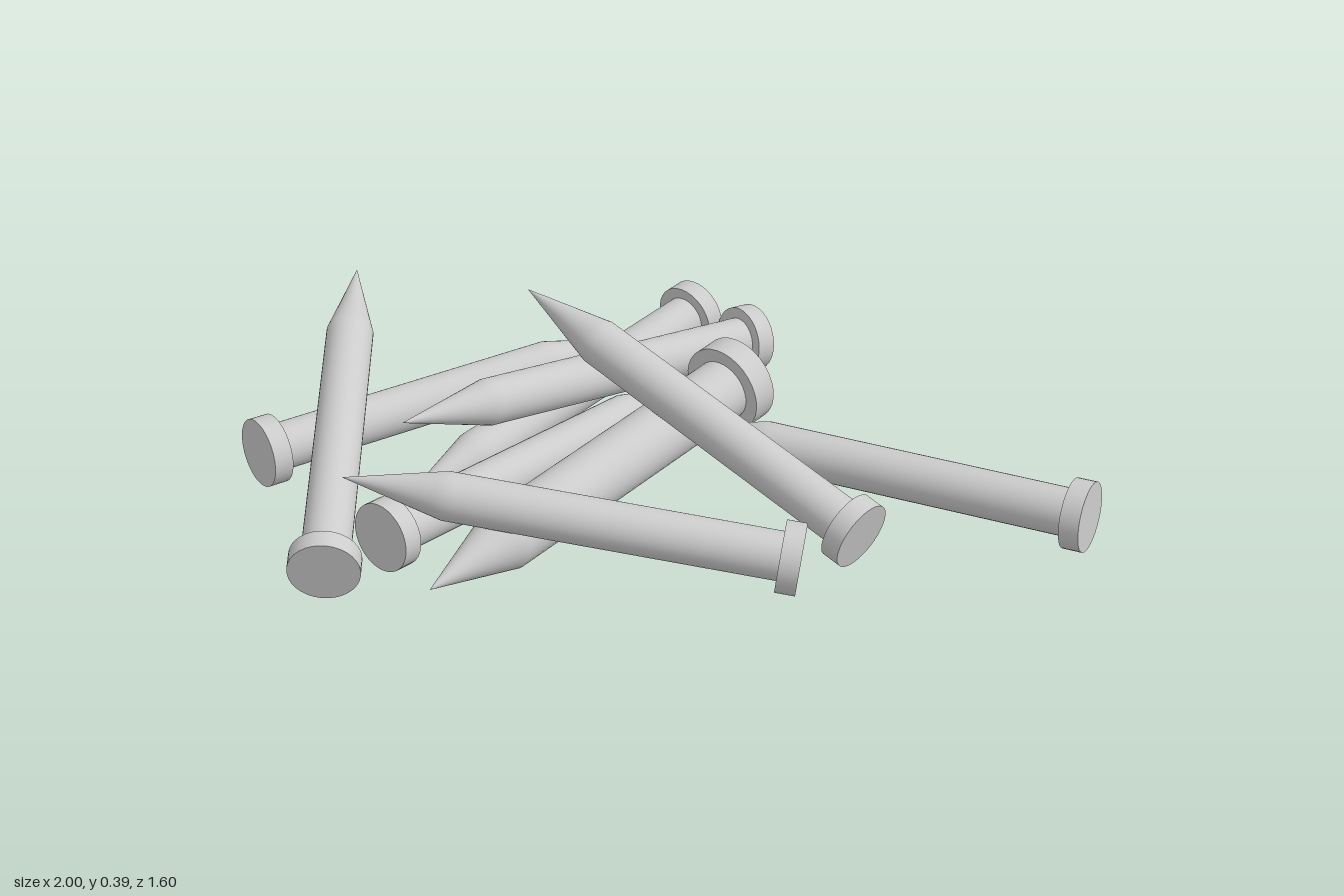
import * as THREE from 'three';

const material = new THREE.MeshStandardMaterial({ color: 0xcccccc });
const UP = new THREE.Vector3(0, 1, 0);
const POINT_LENGTH = 0.25;

// One nail from the centre of its head's outer face to its tip
function makeNail(name, head, tip, shaftRadius = 0.06, headRadius = 0.088, headThickness = 0.05) {
  const start = new THREE.Vector3(...head);
  const axis = new THREE.Vector3(...tip).sub(start);
  const length = axis.length();
  const nail = new THREE.Group();
  nail.name = name;

  // Flat round head
  const headMesh = new THREE.Mesh(
    new THREE.CylinderGeometry(headRadius, headRadius, headThickness, 32), material);
  headMesh.position.y = headThickness / 2;
  headMesh.name = 'head';

  // Straight shaft running softly into the conical point
  const base = length - POINT_LENGTH;
  const profile = [
    [shaftRadius, headThickness * 0.8],
    [shaftRadius, base - 0.02],
    [shaftRadius, base],
    [shaftRadius * 0.92, base + POINT_LENGTH * 0.08],
    [0.0005, length],
  ].map(([r, y]) => new THREE.Vector2(r, y));
  const shaft = new THREE.Mesh(new THREE.LatheGeometry(profile, 32), material);
  shaft.name = 'shaft';

  nail.add(headMesh, shaft);
  nail.position.copy(start);
  nail.quaternion.setFromUnitVectors(UP, axis.normalize());
  return nail;
}

export function createModel() {
  const model = new THREE.Group();
  model.name = 'nailPile';

  // Ordinary nails: head centre, tip
  const nails = [
    [[-0.81, 0.118, 0.465], [-0.457, 0.09, -0.583]],
    [[-0.372, 0.118, -0.78], [-0.462, 0.04, 0.32]],
    [[-0.183, 0.105, -0.775], [-0.49, 0.235, 0.28]],
    [[-0.32, 0.115, 0.565], [-0.225, 0.045, -0.55]],
    [[0.985, 0.12, -0.535], [-0.1, 0.083, -0.32]],
    [[0.59, 0.115, -0.137], [-0.497, 0.385, -0.223]],
    [[0.545, 0.13, 0.05], [-0.414, 0.26, 0.585]],
    [[-0.345, 0.1, 0.74], [-1.0, 0.315, -0.13]],
  ];
  nails.forEach(([head, tip], i) => model.add(makeNail(`nail${i + 1}`, head, tip)));

  // One thicker nail in the middle of the pile
  model.add(makeNail('thickNail', [-0.025, 0.168, -0.49], [-0.11, 0.088, 0.63], 0.08, 0.115, 0.068));
  return model;
}
